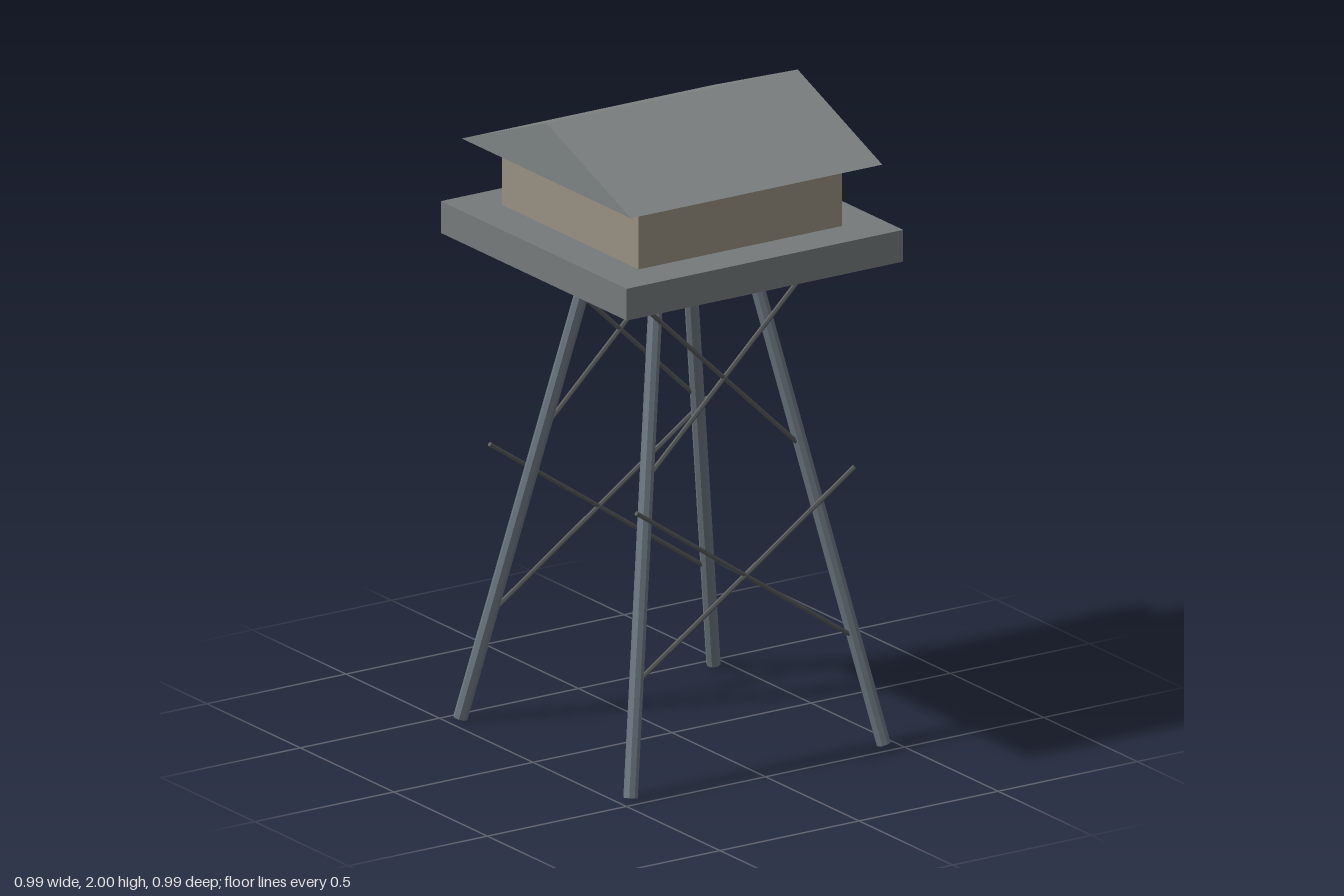
import * as THREE from 'three';

const material = (color, side = THREE.FrontSide) =>
  new THREE.MeshStandardMaterial({ color, flatShading: true, side });

const STEEL = material(0x6a757e);
const BRACE = material(0x55595a);
const DECK = material(0x757a7b);
const WALL = material(0x979082);
const ROOF = material(0x7d8283, THREE.DoubleSide);

function box(name, w, h, y, mat) {
  const mesh = new THREE.Mesh(new THREE.BoxGeometry(w, h, w), mat);
  mesh.name = name;
  mesh.position.y = y + h / 2;
  return mesh;
}

// Straight round bar between two points
function bar(name, from, to, radius, sides, mat) {
  const a = new THREE.Vector3(...from);
  const axis = new THREE.Vector3(...to).sub(a);
  const mesh = new THREE.Mesh(new THREE.CylinderGeometry(radius, radius, axis.length(), sides), mat);
  mesh.name = name;
  mesh.position.copy(a).addScaledVector(axis, 0.5);
  mesh.quaternion.setFromUnitVectors(new THREE.Vector3(0, 1, 0), axis.normalize());
  return mesh;
}

// Gable roof: two slopes and two gable ends, open underneath
function gableRoof(half, eave, ridge) {
  const A = [-half, eave, half], B = [half, eave, half];
  const C = [half, eave, -half], D = [-half, eave, -half];
  const L = [-half, ridge, 0], R = [half, ridge, 0];
  const faces = [A, B, R, A, R, L, C, D, L, C, L, R, B, C, R, D, A, L];
  const geometry = new THREE.BufferGeometry();
  geometry.setAttribute('position', new THREE.Float32BufferAttribute(faces.flat(), 3));
  geometry.computeVertexNormals();
  const mesh = new THREE.Mesh(geometry, ROOF);
  mesh.name = 'roof';
  return mesh;
}

export function createModel() {
  const tower = new THREE.Group();
  tower.name = 'watchtower';

  // Four legs leaning in towards the deck
  const legs = new THREE.Group();
  legs.name = 'legs';
  for (const sx of [-1, 1]) {
    for (const sz of [-1, 1]) {
      legs.add(bar('leg', [sx * 0.455, 0.004, sz * 0.455], [sx * 0.162, 1.53, sz * 0.162], 0.022, 8, STEEL));
    }
  }
  tower.add(legs);

  // Crossed braces in two tiers, on the front and back only
  const braces = new THREE.Group();
  braces.name = 'crossBraces';
  const tiers = [
    { x: 0.392, low: 0.335, high: 0.87 },
    { x: 0.278, low: 0.925, high: 1.458 },
  ];
  for (const { x, low, high } of tiers) {
    for (const sz of [-1, 1]) {
      for (const sx of [-1, 1]) {
        braces.add(bar('brace', [-sx * x, low, sz * x], [sx * x, high, sz * x], 0.0075, 6, BRACE));
      }
    }
  }
  tower.add(braces);

  // Deck, cabin and roof
  tower.add(box('deck', 0.994, 0.1, 1.525, DECK));
  tower.add(box('cabin', 0.73, 0.203, 1.625, WALL));
  tower.add(gableRoof(0.452, 1.826, 2));

  return tower;
}
